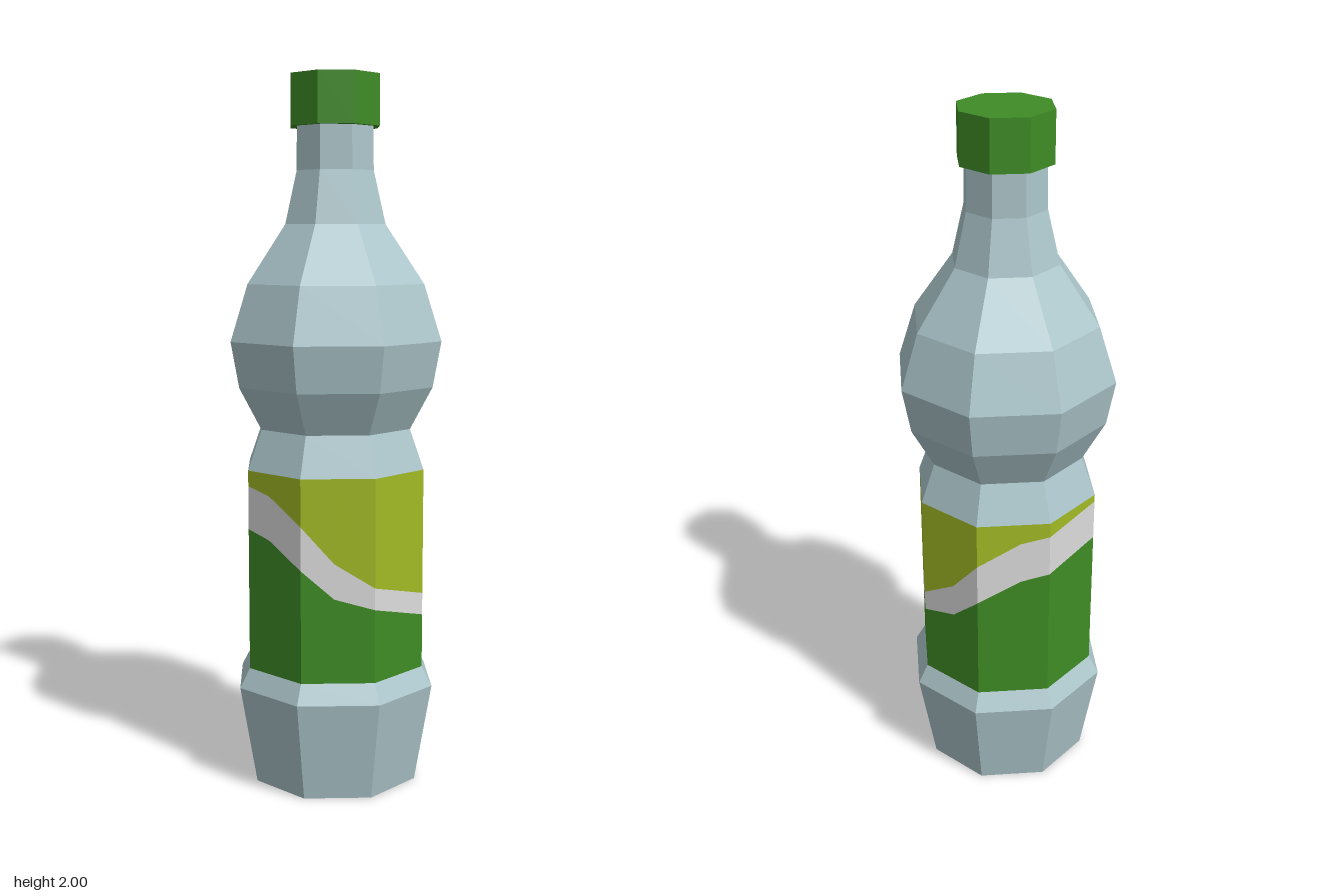
import * as THREE from 'three';

const SIDES = 8;
const LABEL = { radius: 0.266, bottom: 0.34, top: 0.912 };

// Stripe edges on half of the label: [position in faces from +x, lower y, upper y]
const STRIPE = [
  [0, 0.493, 0.556], [1, 0.547, 0.608], [1.55, 0.578, 0.677], [2, 0.658, 0.78],
  [2.6, 0.725, 0.85], [3, 0.745, 0.868], [4, 0.77, 0.89],
];

function material(name, color) {
  const m = new THREE.MeshStandardMaterial({ color, flatShading: true });
  m.name = name;
  return m;
}

function mesh(name, geometry, mat) {
  const m = new THREE.Mesh(geometry, mat);
  m.name = name;
  return m;
}

// Faceted solid of revolution from [radius, y] points, bottom to top
function turned(profile) {
  const points = profile.map(([r, y]) => new THREE.Vector2(r, y));
  const g = new THREE.LatheGeometry(points, SIDES).toNonIndexed();
  g.computeVertexNormals();
  return g;
}

// Point on the flat-sided label ring, u counted in faces from +x towards +z
function ringPoint(u, y) {
  const corner = (i) => new THREE.Vector3(
    LABEL.radius * Math.cos(i * Math.PI / 4), y, LABEL.radius * Math.sin(i * Math.PI / 4));
  const i = Math.floor(u);
  return corner(i).lerp(corner(i + 1), u - i);
}

// Band around the label between two heights given per column
function band(columns, low, high) {
  const pts = [];
  for (let i = 0; i < columns.length - 1; i++) {
    const a = columns[i], b = columns[i + 1];
    const aLow = ringPoint(a[0], low(a)), aHigh = ringPoint(a[0], high(a));
    const bLow = ringPoint(b[0], low(b)), bHigh = ringPoint(b[0], high(b));
    pts.push(aLow, aHigh, bHigh, aLow, bHigh, bLow);
  }
  const g = new THREE.BufferGeometry().setFromPoints(pts);
  g.computeVertexNormals();
  return g;
}

export function createModel() {
  const glass = material('pale blue plastic', 0xacc6cb);
  const green = material('green', 0x3e8c25);
  const lime = material('lime yellow', 0xa2ba25);
  const white = material('stripe white', 0xdcdcdc);

  const bottle = new THREE.Group();
  bottle.name = 'bottle';

  // Foot below the label
  bottle.add(mesh('base', turned([
    [0, 0], [0.246, 0], [0.296, 0.285], [LABEL.radius, LABEL.bottom],
  ]), glass));

  // Waist, bulge, shoulder and neck above the label
  bottle.add(mesh('upperBody', turned([
    [LABEL.radius, LABEL.top], [0.225, 1.025], [0.29, 1.145], [0.314, 1.273],
    [0.263, 1.43], [0.15, 1.593], [0.115, 1.74], [0.113, 1.87],
  ]), glass));

  // Screw cap
  bottle.add(mesh('cap', turned([
    [0, 1.86], [0.132, 1.86], [0.132, 2], [0, 2],
  ]), green));

  // Label wrapped all round, mirrored front to back
  const mirrored = STRIPE.slice(0, -1).reverse().map(([u, l, h]) => [8 - u, l, h]);
  const columns = [...STRIPE, ...mirrored];
  const label = new THREE.Group();
  label.name = 'label';
  label.add(
    mesh('labelLower', band(columns, () => LABEL.bottom, (c) => c[1]), green),
    mesh('labelStripe', band(columns, (c) => c[1], (c) => c[2]), white),
    mesh('labelUpper', band(columns, (c) => c[2], () => LABEL.top), lime),
  );
  bottle.add(label);
  return bottle;
}
